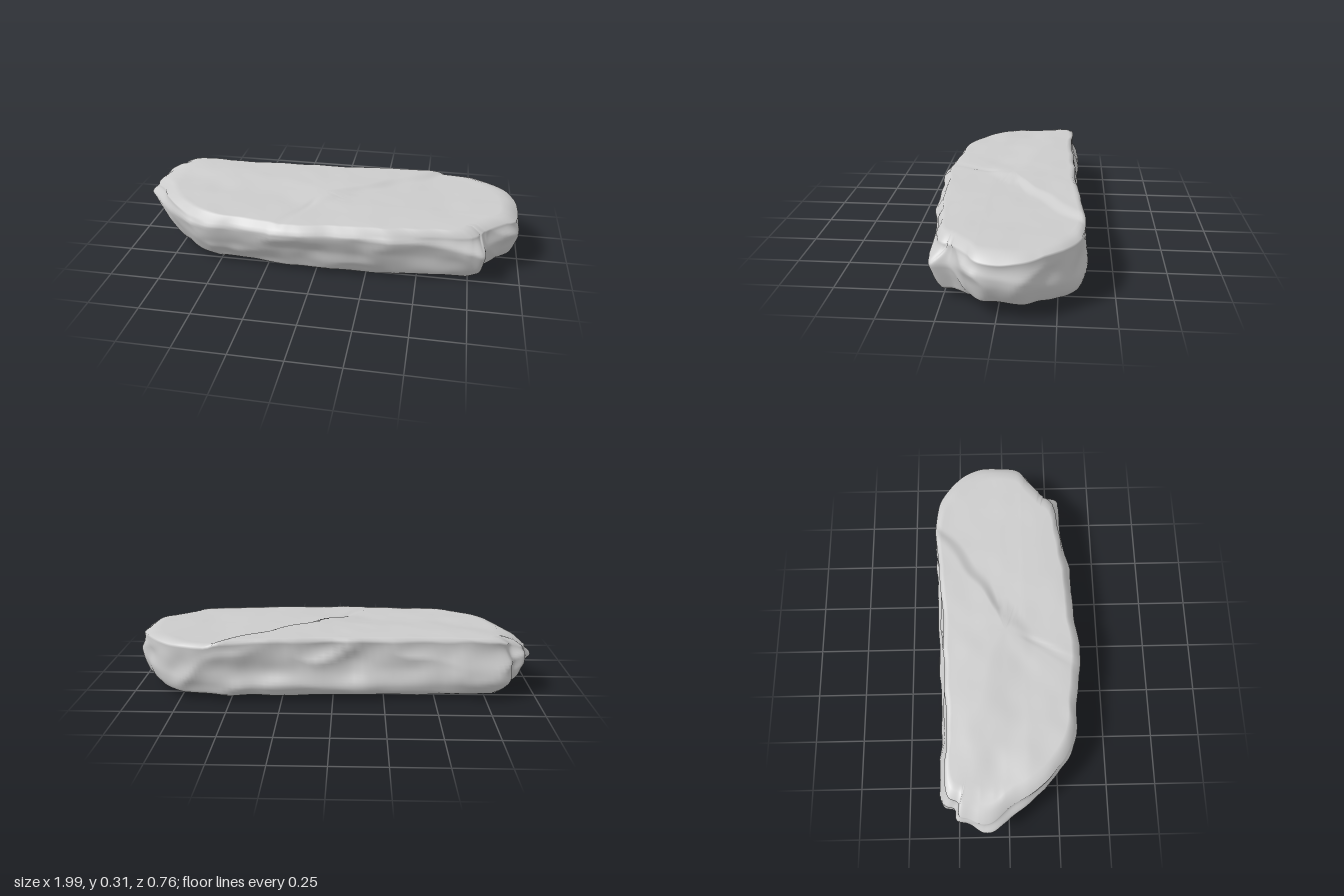
import * as THREE from 'three';
import { mergeVertices } from 'three/addons/utils/BufferGeometryUtils.js';

// Outline seen from above: [x, z, inset at top, inset at bottom, height of widest level]
const OUTLINE = [
  [-1.0, -0.12, 0.05, 0.08, 0.17], [-0.965, -0.21, 0.04, 0.06, 0.17], [-0.95, -0.265, 0.04, 0.05, 0.16],
  [-0.89, -0.27, 0.03, 0.03, 0.13], [-0.86, -0.325, 0.035, 0.03, 0.10], [-0.5, -0.34, 0.04, 0.01, 0.09],
  [-0.1, -0.36, 0.045, 0.01, 0.08], [0.3, -0.365, 0.03, 0.01, 0.08], [0.62, -0.385, 0.02, 0.015, 0.10],
  [0.81, -0.335, 0.02, 0.02, 0.12], [0.935, -0.22, 0.02, 0.03, 0.14], [1.0, -0.1, 0.02, 0.03, 0.18],
  [0.995, 0.08, 0.02, 0.04, 0.20], [0.93, 0.15, 0.02, 0.05, 0.19], [0.835, 0.215, 0.015, 0.02, 0.17],
  [0.825, 0.305, 0.085, 0.05, 0.16], [0.76, 0.315, 0.04, 0.05, 0.18], [0.5, 0.34, 0.02, 0.05, 0.22],
  [0.2, 0.365, 0.02, 0.06, 0.24], [-0.12, 0.385, 0.015, 0.07, 0.24], [-0.4, 0.36, 0.015, 0.07, 0.235],
  [-0.55, 0.35, 0.02, 0.07, 0.225], [-0.79, 0.205, 0.025, 0.08, 0.21], [-0.92, 0.02, 0.045, 0.09, 0.19],
];
const AROUND = 260, CAP = 20, WALL = 18;
const { lerp, smoothstep, clamp } = THREE.MathUtils;

// Smooth repeatable 3D value noise in -1..1
function hash(x, y, z) {
  const s = Math.sin(x * 127.1 + y * 311.7 + z * 74.7) * 43758.5453;
  return (s - Math.floor(s)) * 2 - 1;
}
function noise(x, y, z) {
  const i = [x, y, z].map(Math.floor);
  const f = [x - i[0], y - i[1], z - i[2]].map((t) => t * t * (3 - 2 * t));
  let sum = 0;
  for (let k = 0; k < 8; k++) {
    const d = [k & 1, (k >> 1) & 1, k >> 2];
    const w = d.reduce((p, on, j) => p * (on ? f[j] : 1 - f[j]), 1);
    sum += w * hash(i[0] + d[0], i[1] + d[1], i[2] + d[2]);
  }
  return sum;
}

// Upper face: a raised rear layer behind a soft, irregular V-shaped crease, falling away at both ends
function topHeight(x, z) {
  const wobble = 0.05 * noise(x * 6, 1, z * 6);
  const rightArm = smoothstep(0.1 - 0.78 * x - z + wobble, -0.03, 0.06);
  const leftArm = smoothstep(0.1 + 0.29 * x - z + wobble, -0.1, 0.16);
  const crack = smoothstep(z, 0.06, 0.14) * Math.exp(-(((x + 0.03 + (z - 0.1) * 0.6 + wobble * 0.4) / 0.018) ** 2));
  return 0.29 + 0.02 * rightArm * leftArm - 0.05 * Math.max(0, z - 0.1) - 0.005 * crack
    - 0.28 * Math.max(0, -0.82 - x) - 0.35 * Math.max(0, x - 0.95)
    + 0.005 * noise(x * 3.5, 4, z * 4) + 0.002 * noise(x * 11, 7, z * 11);
}

// Underside: two low swellings, lifting towards both ends
function bottomHeight(x, z) {
  const bump = (cx, cz) => Math.exp(-(((x - cx) / 0.22) ** 2) - ((z - cz) / 0.13) ** 2);
  return 0.022 - 0.018 * bump(-0.35, -0.15) - 0.018 * bump(0.35, 0.2)
    + 0.32 * Math.max(0, -0.8 - x) + 0.14 * Math.max(0, x - 0.74)
    + 0.008 * noise(x * 4, 11, z * 5) + 0.003 * noise(x * 10, 3, z * 10);
}

function slabGeometry() {
  const path = new THREE.CatmullRomCurve3(OUTLINE.map(([x, z]) => new THREE.Vector3(x, 0, z)), true, 'centripetal');
  const columns = [];
  for (let i = 0; i < AROUND; i++) {
    const p = path.getPoint(i / AROUND), k = (i / AROUND) * OUTLINE.length;
    const a = OUTLINE[Math.floor(k)], b = OUTLINE[(Math.floor(k) + 1) % OUTLINE.length];
    const [topIn, botIn, wide] = [2, 3, 4].map((j) => lerp(a[j], b[j], k % 1));
    // Insets head for the long middle line of the slab
    const inward = new THREE.Vector3(clamp(p.x, -0.6, 0.7), 0, 0).sub(p).normalize();
    columns.push({ p, inward, topIn, botIn, wide });
  }

  // Wall point at fraction v, from the upper rim (0) to the lower rim (1)
  const wallPoint = ({ p, inward, topIn, botIn, wide }, v) => {
    const yTop = topHeight(p.x, p.z) - 0.01 - 0.012 * smoothstep(p.z, 0, 0.25) - 0.005 * noise(p.x * 9, 2, p.z * 9);
    const yBot = bottomHeight(p.x, p.z) + 0.012 + 0.008 * noise(p.x * 7, 6, p.z * 7);
    const y = lerp(yTop, yBot, v);
    const up = Math.max(0, (y - wide) / (yTop - wide));
    const down = Math.max(0, (wide - y) / (wide - yBot));
    // Broad chipped hollows meeting in ridges, over a finer roughness
    const hollow = Math.abs(noise(p.x * 4.5 + y * 3, y * 7, p.z * 4.5));
    const inset = topIn * Math.sin(up * Math.PI / 2) ** 1.6 + botIn * down ** 1.4
      + 0.04 * hollow * (0.35 + 0.65 * Math.sin(Math.PI * v))
      + 0.006 * v ** 6 + 0.006 * noise(p.x * 13, y * 15, p.z * 13);
    return [p.x + inward.x * inset, y, p.z + inward.z * inset];
  };

  // Rings from the centre of the upper face, down the wall, to the centre of the underside
  const rings = [];
  const capRing = (s, v, height) => columns.map((c) => {
    const [x, , z] = wallPoint(c, v);
    return [x * s, height(x * s, z * s), z * s];
  });
  const scale = (k) => 0.95 * (k / CAP) ** 0.85;
  for (let k = 0; k <= CAP; k++) rings.push(capRing(scale(k), 0, topHeight));
  for (let k = 0; k <= WALL; k++) rings.push(columns.map((c) => wallPoint(c, k / WALL)));
  for (let k = CAP; k >= 0; k--) rings.push(capRing(scale(k), 1, bottomHeight));

  const index = [];
  for (let r = 0; r < rings.length - 1; r++) {
    for (let i = 0; i < AROUND; i++) {
      const j = (i + 1) % AROUND;
      const a = r * AROUND + i, b = r * AROUND + j, c = a + AROUND, d = b + AROUND;
      // The two centres need one triangle per step, the rest two
      if (r > 0) index.push(a, b, c);
      if (r < rings.length - 2) index.push(b, d, c);
    }
  }
  let geometry = new THREE.BufferGeometry();
  geometry.setAttribute('position', new THREE.Float32BufferAttribute(rings.flat(2), 3));
  geometry.setIndex(index);
  geometry = mergeVertices(geometry, 1e-5);

  // Centre on x and z and rest on the ground
  geometry.computeBoundingBox();
  const { min, max } = geometry.boundingBox;
  geometry.translate(-(min.x + max.x) / 2, -min.y, -(min.z + max.z) / 2);
  geometry.computeVertexNormals();
  return geometry;
}

export function createModel() {
  const group = new THREE.Group();
  group.name = 'flatRock';
  const slab = new THREE.Mesh(slabGeometry(), new THREE.MeshStandardMaterial({ color: 0xcccccc }));
  slab.name = 'stoneSlab';
  group.add(slab);
  return group;
}
